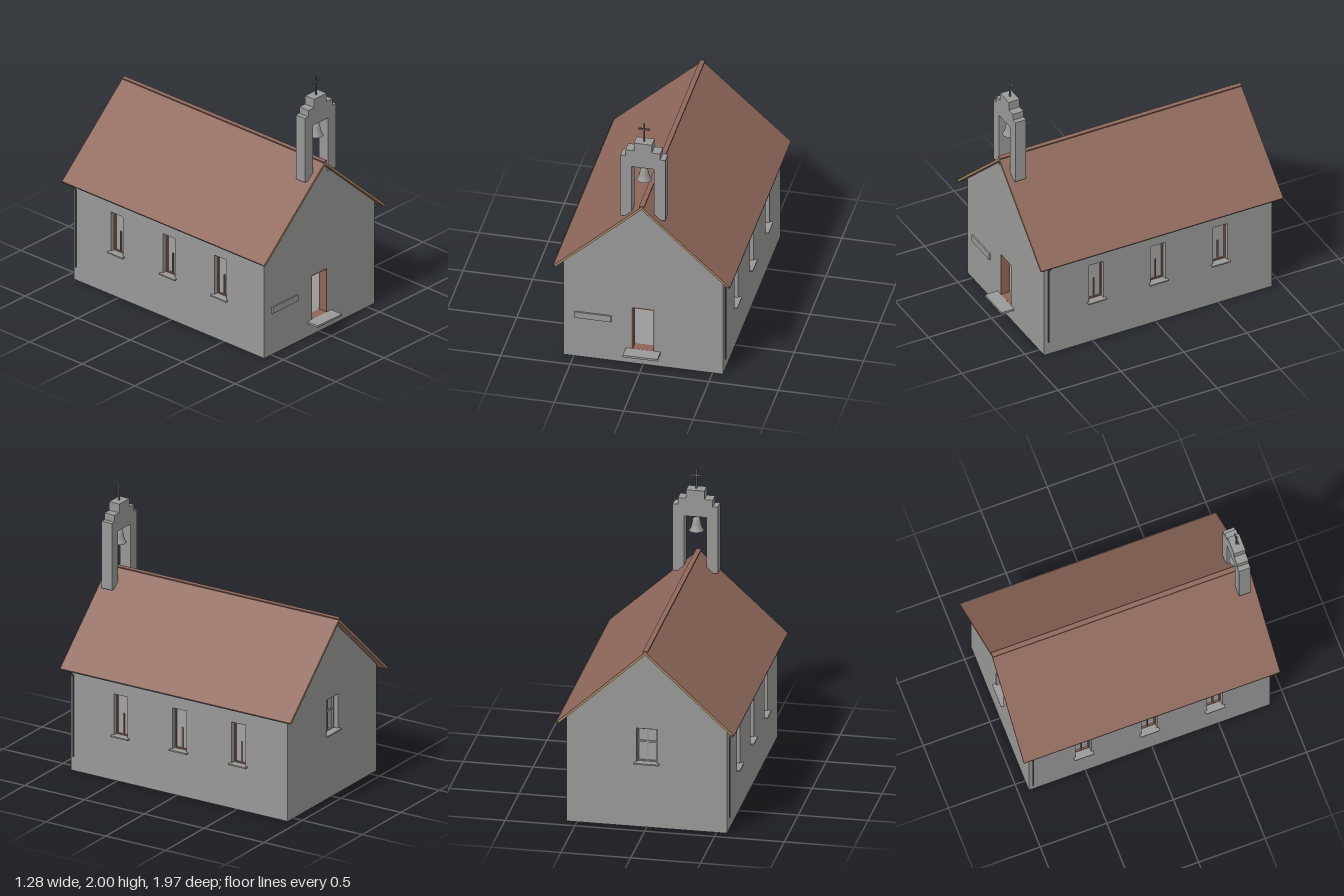
import * as THREE from 'three';

const mat = (name, color, double = false) => {
  const m = new THREE.MeshStandardMaterial({ color, side: double ? THREE.DoubleSide : THREE.FrontSide });
  m.name = name;
  return m;
};

export function createModel() {
  const stone = mat('stone grey', 0x999998, true);
  const tile = mat('roof tile red', 0x8f685b);
  const wood = mat('verge wood', 0xa88a60);
  const frameRed = mat('frame red brown', 0x8f6556);
  const metal = mat('dark metal', 0x68666a, true);
  const pane = mat('pane grey', 0xa2a2a2);

  const model = new THREE.Group();
  model.name = 'chapel';
  const add = (parent, name, geo, material, x = 0, y = 0, z = 0) => {
    const m = new THREE.Mesh(geo, material);
    m.name = name;
    m.position.set(x, y, z);
    parent.add(m);
    return m;
  };
  // box given by its limits on each axis
  const box = (parent, name, material, [x0, x1], [y0, y1], [z0, z1]) =>
    add(parent, name, new THREE.BoxGeometry(x1 - x0, y1 - y0, z1 - z0), material,
      (x0 + x1) / 2, (y0 + y1) / 2, (z0 + z1) / 2);
  const poly = (pts) => new THREE.Shape(pts.map((p) => new THREE.Vector2(...p)));
  const rect = (x0, x1, y0, y1) => [[x0, y0], [x1, y0], [x1, y1], [x0, y1]];
  const extrude = (shape, depth) => new THREE.ExtrudeGeometry(shape, { depth, bevelEnabled: false });
  // rectangular frame with side, bottom and top thickness
  const frame = (x0, x1, y0, y1, side, bottom, top, depth) => {
    const s = poly(rect(x0, x1, y0, y1));
    s.holes.push(poly(rect(x0 + side, x1 - side, y0 + bottom, y1 - top)));
    return extrude(s, depth);
  };

  const FRONT = 0.885, BACK = -0.925, HALF = 0.575, SLOPE = 0.913, EAVE = 0.805;
  const THICK = 0.072; // wall thickness, seen at the door and around the floor
  const DEPTH = 0.045; // depth of the window reveals

  // one wall facing local +z, with an open doorway or recessed windows
  function wall(name, outline, openings, rotation, x, z) {
    const g = new THREE.Group();
    g.name = name;
    g.rotation.y = rotation;
    g.position.set(x, 0, z);
    model.add(g);
    const shape = poly(outline);
    for (const o of openings) {
      const [x0, x1, y0, y1] = [o.x - o.w / 2, o.x + o.w / 2, o.y0, o.y1];
      shape.holes.push(poly(rect(x0, x1, y0, y1)));
      if (o.door) {
        add(g, 'doorFrame', frame(x0, x1, y0, y1, 0.008, 0.001, 0.01, THICK), frameRed, 0, 0, -THICK);
        continue;
      }
      box(g, o.name + 'Panel', pane, [x0, x1], [y0, y1], [-DEPTH - 0.008, -DEPTH]);
      add(g, o.name + 'Reveal', frame(x0, x1, y0, y1, 0.003, 0.003, 0.003, DEPTH), stone, 0, 0, -DEPTH);
      add(g, o.name + 'Frame', frame(x0 + 0.003, x1 - 0.003, y0 + 0.003, y1 - 0.003, 0.01, 0.008, 0.015, 0.012),
        o.trim, 0, 0, -DEPTH);
      box(g, o.name + 'Sill', stone, [x0 - 0.012, x1 + 0.012], [y0 - 0.006, y0 + 0.004], [-0.02, 0.025]);
      box(g, o.name + 'Mullion', o.trim, [o.x - 0.005, o.x + 0.005], [y0 + 0.01, y0 + o.mullion], [-DEPTH, -DEPTH + 0.008]);
      if (o.crossbar) {
        const mid = (y0 + y1) / 2 + 0.02;
        box(g, o.name + 'Crossbar', o.trim, [x0 + 0.012, x1 - 0.012], [mid - 0.006, mid + 0.006], [-DEPTH, -DEPTH + 0.01]);
      }
    }
    add(g, name + 'Face', new THREE.ShapeGeometry(shape), stone);
  }

  // walls
  const gable = [[-HALF, 0], [HALF, 0], [HALF, EAVE], [0, EAVE + HALF * SLOPE], [-HALF, EAVE]];
  wall('frontWall', gable, [{ name: 'door', door: true, x: 0, w: 0.165, y0: 0.12, y1: 0.47 }], 0, 0, FRONT);
  wall('backWall', gable,
    [{ name: 'backWindow', trim: stone, x: 0, w: 0.155, y0: 0.485, y1: 0.75, mullion: 0.25, crossbar: true }],
    Math.PI, 0, BACK);
  for (const s of [1, -1]) {
    const ends = [-s * FRONT, -s * BACK].sort((a, b) => a - b);
    wall(s > 0 ? 'leftWall' : 'rightWall', rect(ends[0], ends[1], 0, EAVE),
      [0.47, -0.02, -0.515].map((z, i) => (
        { name: 'sideWindow' + (i + 1), trim: frameRed, x: -s * z, w: 0.122, y0: 0.338, y1: 0.655, mullion: 0.165 })),
      s * Math.PI / 2, s * HALF, 0);
  }

  // floor inside the walls, level with the door step, and the notice board
  box(model, 'floor', stone, [-HALF + THICK, HALF - THICK], [0.112, 0.12], [BACK + THICK, FRONT - THICK]);
  box(model, 'doorStep', stone, [-0.125, 0.125], [0.105, 0.1205], [FRONT - THICK, 0.985]);
  box(model, 'noticeBoard', stone, [-0.495, -0.23], [0.325, 0.375], [FRONT, 0.896]);

  // roof: tiles on wooden boards with a red lining
  const R0 = -0.985, R1 = 0.94;
  const layer = (name, top, thick, material, edge) => {
    const drop = edge * SLOPE;
    add(model, name, extrude(poly([
      [0, top], [-edge, top - drop], [-edge, top - drop - thick],
      [0, top - thick], [edge, top - drop - thick], [edge, top - drop],
    ]), R1 - R0), material, 0, 0, R0);
  };
  layer('roofTiles', 1.353, 0.004, tile, 0.637);
  layer('roofBoards', 1.349, 0.016, wood, 0.625);
  layer('roofLining', 1.333, 0.003, tile, 0.62);
  box(model, 'ridgeCap', tile, [-0.018, 0.018], [1.351, 1.359], [R0, R1]);
  box(model, 'ridgeBatten', tile, [-0.007, 0.007], [1.335, 1.351], [R0, R1]);

  // gutters, and downpipes at opposite corners
  for (const s of [1, -1]) {
    const gutter = add(model, 'gutter',
      new THREE.CylinderGeometry(0.014, 0.014, R1 - R0, 12, 1, true, -Math.PI / 2, Math.PI),
      metal, s * 0.628, 0.778, (R0 + R1) / 2);
    gutter.rotation.x = Math.PI / 2;
    const z = s > 0 ? 0.857 : -0.897;
    const path = new THREE.CurvePath();
    const pts = [[0.632, 0.768], [0.588, 0.72], [0.588, 0.11]].map(([x, y]) => new THREE.Vector3(s * x, y, z));
    path.add(new THREE.LineCurve3(pts[0], pts[1]));
    path.add(new THREE.LineCurve3(pts[1], pts[2]));
    add(model, 'downpipe', new THREE.TubeGeometry(path, 40, 0.006, 8), metal);
  }

  // stepped bell gable with its opening
  const half = [[0.08, 1.235], [0.162, 1.235], [0.162, 1.74], [0.125, 1.74], [0.125, 1.79], [0.065, 1.79], [0.065, 1.855]];
  const mirrored = half.map(([x, y]) => [-x, y]).reverse();
  const BZ = 0.853;
  add(model, 'bellGable', extrude(poly([[0.08, 1.655], ...half, ...mirrored, [-0.08, 1.655]]), 0.086), stone, 0, 0, BZ - 0.043);

  // bell on its bar
  box(model, 'bellBar', metal, [-0.085, 0.085], [1.638, 1.65], [BZ - 0.006, BZ + 0.006]);
  const profile = [[0, 1.638], [0.018, 1.636], [0.027, 1.62], [0.033, 1.585], [0.041, 1.555], [0.053, 1.536], [0.047, 1.537], [0.03, 1.57], [0, 1.61]];
  add(model, 'bell', new THREE.LatheGeometry(profile.map((p) => new THREE.Vector2(...p)), 24), stone, 0, 0, BZ);

  // cross on top
  box(model, 'crossPost', metal, [-0.005, 0.005], [1.85, 2.0], [BZ - 0.005, BZ + 0.005]);
  box(model, 'crossArm', metal, [-0.042, 0.042], [1.948, 1.96], [BZ - 0.005, BZ + 0.005]);

  return model;
}
